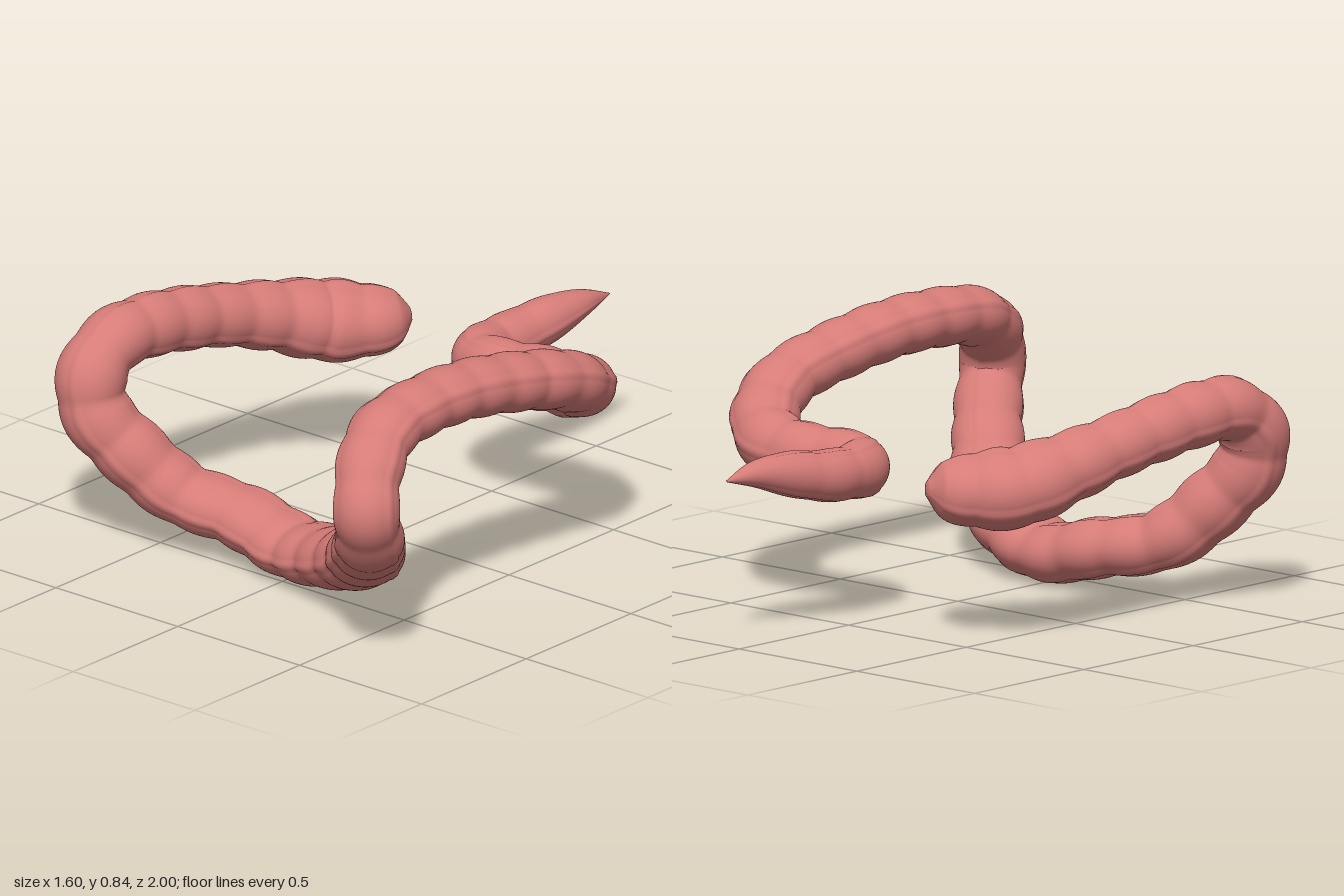
import * as THREE from 'three';

// centre line of the tube from the blind pouch to the tapered tip
const PATH = [
  [-0.365, 0.49, -0.535], [-0.39, 0.487, -0.5], [-0.445, 0.48, -0.43], [-0.54, 0.487, -0.325], [-0.6, 0.525, -0.19],
  [-0.645, 0.575, 0], [-0.67, 0.612, 0.18], [-0.685, 0.636, 0.36], [-0.69, 0.63, 0.51],
  [-0.69, 0.55, 0.61], [-0.665, 0.435, 0.62], [-0.58, 0.325, 0.575], [-0.43, 0.185, 0.49],
  [-0.22, 0.138, 0.43], [0, 0.092, 0.435], [0.2, 0.13, 0.49], [0.4, 0.215, 0.59],
  [0.55, 0.325, 0.73], [0.65, 0.42, 0.84], [0.69, 0.53, 0.9], [0.65, 0.645, 0.84],
  [0.595, 0.72, 0.7], [0.58, 0.742, 0.5], [0.585, 0.735, 0.3], [0.6, 0.692, 0.05],
  [0.605, 0.643, -0.13], [0.56, 0.573, -0.27], [0.45, 0.51, -0.375], [0.3, 0.488, -0.4],
  [0.14, 0.487, -0.375], [0.04, 0.485, -0.395], [0.005, 0.485, -0.48], [0.005, 0.49, -0.6],
  [0.03, 0.515, -0.75], [0.047, 0.53, -0.87], [0.055, 0.525, -1],
];
// section at each point: radius, vertical flattening
const SECTION = [
  [0.03, 0.85], [0.095, 0.85], [0.135, 0.84], [0.153, 0.82], [0.128, 0.87],
  [0.106, 0.93], [0.104, 0.95], [0.104, 0.95], [0.104, 0.93],
  [0.108, 0.9], [0.11, 0.9], [0.115, 0.87], [0.117, 0.8],
  [0.122, 0.76], [0.13, 0.7], [0.13, 0.71], [0.125, 0.78],
  [0.112, 0.85], [0.105, 0.9], [0.1, 0.9], [0.104, 0.87],
  [0.106, 0.85], [0.106, 0.85], [0.108, 0.84], [0.108, 0.84],
  [0.106, 0.85], [0.106, 0.88], [0.106, 0.93], [0.103, 0.96],
  [0.092, 1.02], [0.087, 1.05], [0.082, 1.05], [0.081, 1],
  [0.07, 1], [0.046, 0.95], [0.002, 1],
];
const RINGS = 420, SIDES = 72;

function buildTube() {
  const curve = new THREE.CatmullRomCurve3(PATH.map((p) => new THREE.Vector3(...p)));
  // radius and flattening run along their own spline with the same parameter
  const sections = new THREE.CatmullRomCurve3(
    SECTION.map(([r, flat], i) => new THREE.Vector3(r, flat, i * 0.1)), false, 'catmullrom');
  const positions = [], index = [];
  const normal = new THREE.Vector3(0, 1, 0), side = new THREE.Vector3(), offset = new THREE.Vector3();
  let length = 0, previous = curve.getPoint(0);

  for (let i = 0; i <= RINGS; i++) {
    const t = i / RINGS;
    const centre = curve.getPoint(t), tangent = curve.getTangent(t), section = sections.getPoint(t);
    length += centre.distanceTo(previous);
    previous = centre;
    // carry the frame along without twist
    normal.addScaledVector(tangent, -normal.dot(tangent)).normalize();
    side.crossVectors(tangent, normal);
    // pouches along the wall, fading out at the tip
    const fade = 1 - THREE.MathUtils.smoothstep(t, 0.88, 0.97);
    const radius = section.x * (1 + fade * (0.085 * Math.abs(Math.sin(length * Math.PI / 0.15)) - 0.05));
    for (let j = 0; j < SIDES; j++) {
      const a = j / SIDES * Math.PI * 2;
      // three narrow raised bands run the whole length
      const r = radius * ((j + 1) % (SIDES / 3) <= 2 ? 1.035 : 1);
      offset.copy(normal).multiplyScalar(Math.cos(a) * r).addScaledVector(side, Math.sin(a) * r);
      positions.push(centre.x + offset.x, centre.y + offset.y * section.y, centre.z + offset.z);
    }
  }
  for (let i = 0; i < RINGS; i++) {
    for (let j = 0; j < SIDES; j++) {
      const a = i * SIDES + j, b = i * SIDES + (j + 1) % SIDES;
      index.push(a, b, a + SIDES, b, b + SIDES, a + SIDES);
    }
  }
  // rounded closure of the blind end
  const start = curve.getPoint(0).addScaledVector(curve.getTangent(0), -0.006);
  const pole = positions.length / 3;
  positions.push(start.x, start.y, start.z);
  for (let j = 0; j < SIDES; j++) index.push(pole, (j + 1) % SIDES, j);

  const geometry = new THREE.BufferGeometry();
  geometry.setAttribute('position', new THREE.Float32BufferAttribute(positions, 3));
  geometry.setIndex(index);
  // rest exactly on the ground
  geometry.computeBoundingBox();
  geometry.translate(0, -geometry.boundingBox.min.y, 0);
  geometry.computeVertexNormals();
  return geometry;
}

export function createModel() {
  const group = new THREE.Group();
  group.name = 'largeIntestine';
  const material = new THREE.MeshStandardMaterial({ color: 0xd67c78 });
  material.name = 'tissuePink';
  const tube = new THREE.Mesh(buildTube(), material);
  tube.name = 'colonTube';
  group.add(tube);
  return group;
}
